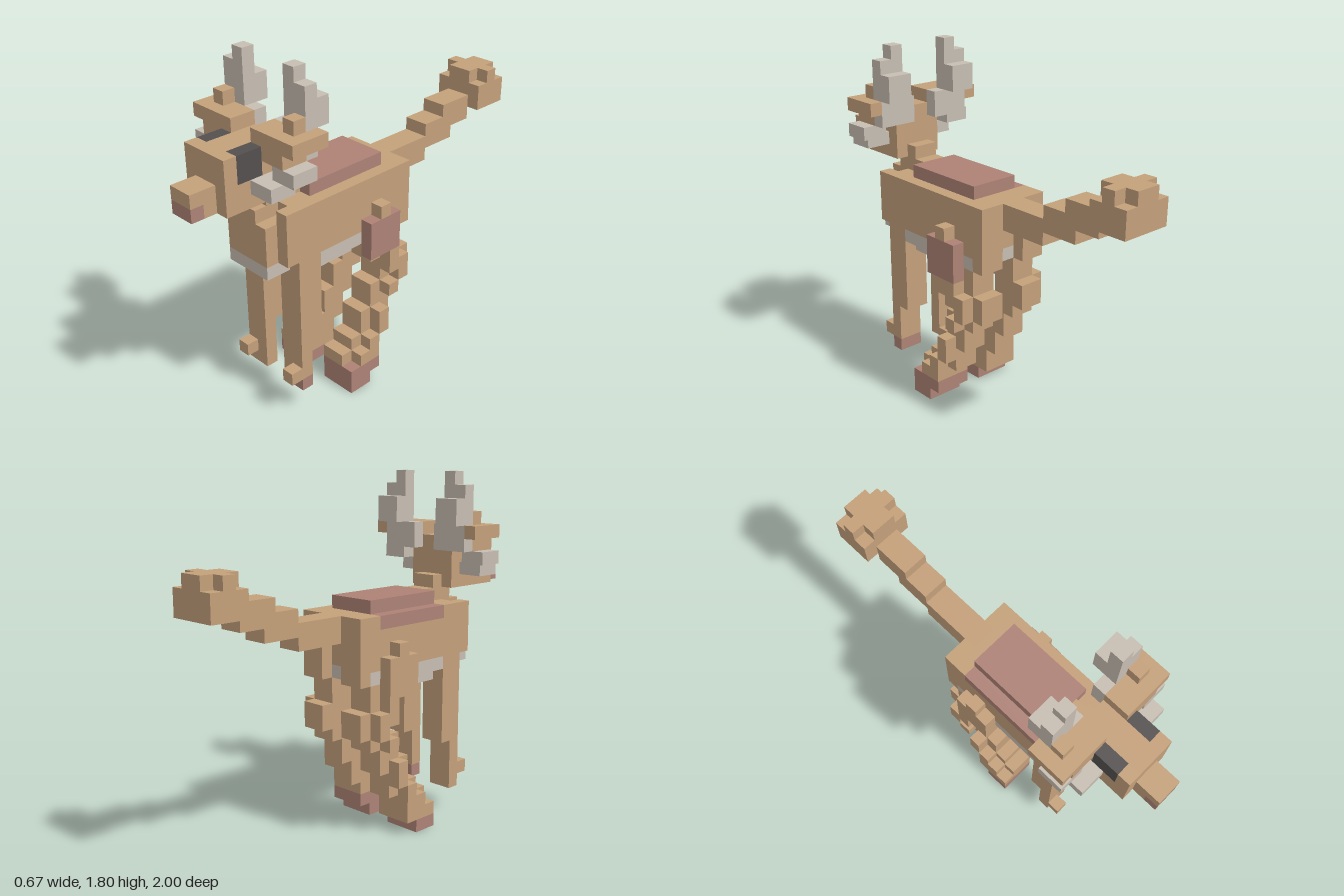
import * as THREE from 'three';

const U = 1 / 15; // edge of one cube

const tan = new THREE.MeshStandardMaterial({ color: 0xc4a07a });
const rose = new THREE.MeshStandardMaterial({ color: 0xae8276 });
const cream = new THREE.MeshStandardMaterial({ color: 0xc7beb2 });
const dark = new THREE.MeshStandardMaterial({ color: 0x555050 });
tan.name = 'tan fur';
rose.name = 'rose markings';
cream.name = 'cream';
dark.name = 'dark eye';

// Box between two corners given in cube units
function box(parent, name, mat, x0, x1, y0, y1, z0, z1) {
  const geo = new THREE.BoxGeometry((x1 - x0) * U, (y1 - y0) * U, (z1 - z0) * U);
  const mesh = new THREE.Mesh(geo, mat);
  mesh.position.set((x0 + x1) / 2 * U, (y0 + y1) / 2 * U, (z0 + z1) / 2 * U);
  mesh.name = name;
  parent.add(mesh);
}

function part(model, name) {
  const group = new THREE.Group();
  group.name = name;
  model.add(group);
  return group;
}

// Box on the side s (+1 left, -1 right), x measured outwards
function sideBox(parent, name, mat, s, x0, x1, ...rest) {
  box(parent, name, mat, s > 0 ? x0 : -x1, s > 0 ? x1 : -x0, ...rest);
}

function addBody(model) {
  const g = part(model, 'body');
  box(g, 'torso', tan, -3, 3, 13, 16, -2, 8);
  box(g, 'upperTorso', tan, -2, 3, 16, 17, -2, 8);
  box(g, 'backEdge', rose, -3, -2, 16, 17, -1, 6);
  box(g, 'rightHip', tan, -3, -2, 16, 17, -2, -1);
  box(g, 'rightShoulderTop', tan, -3, -2, 16, 17, 6, 8);
  box(g, 'saddle', rose, -2, 2, 17, 18, -1, 6);
  box(g, 'rearUnderside', tan, -3, 3, 12, 13, -1, 2);
  box(g, 'rearPatch', cream, -3, 3, 12, 13, -2, -1);
  box(g, 'bellySide', cream, -3, 3, 12, 13, 2, 6);
  box(g, 'belly', cream, -2, 2, 11, 12, 2, 6);
  box(g, 'frontUnderside', tan, -3, 3, 12, 13, 6, 8);
  box(g, 'chestPatch', cream, -2, 2, 12, 13, 8, 10);
  box(g, 'chest', tan, -2, 2, 13, 16, 8, 10);
  box(g, 'upperChest', tan, -1, 1, 16, 17, 8, 10);
  for (const s of [1, -1]) {
    sideBox(g, 'shoulder', tan, s, 2, 3, 13, 17, 8, 9);
    sideBox(g, 'haunch', tan, s, 1, 3, 12, 17, -3, -2);
  }
  box(g, 'neckBase', tan, -1, 1, 17, 18, 6, 9);
  box(g, 'neck', tan, -1, 1, 18, 19, 7, 9);
}

function addTail(model) {
  const g = part(model, 'tail');
  box(g, 'tailRoot', tan, -1, 1, 15, 17, -7, -2);
  box(g, 'tailMiddle', tan, -1, 1, 16, 18, -10, -7);
  box(g, 'tailUpper', tan, -1, 1, 17, 19, -12, -9);
  // Tuft
  box(g, 'tuftCore', tan, -1, 1, 18, 21, -15, -12);
  box(g, 'tuftWide', tan, -2, 2, 18, 20, -15, -12);
  box(g, 'tuftSides', tan, -2, 2, 20, 21, -14, -13);
}

function addHead(model) {
  const g = part(model, 'head');
  box(g, 'skullLower', tan, -2, 2, 18, 20, 8, 13);
  box(g, 'skullMiddle', tan, -1, 1, 20, 22, 8, 13);
  box(g, 'snout', tan, -1, 1, 19, 20, 13, 15);
  box(g, 'jaw', tan, -1, 1, 18, 19, 13, 14);
  box(g, 'mouth', rose, -1, 1, 18, 19, 14, 15);
  for (const s of [1, -1]) {
    sideBox(g, 'brow', tan, s, 1, 2, 20, 22, 12, 13);
    sideBox(g, 'eye', dark, s, 1, 2, 20, 22, 10, 12);
    sideBox(g, 'cheek', tan, s, 1, 2, 20, 22, 8, 10);
    // Pale ears below
    sideBox(g, 'lowerEar', cream, s, 2, 4, 19, 20, 9, 11);
    sideBox(g, 'earTip', cream, s, 3, 5, 20, 21, 8, 10);
    // Tan upper ears
    sideBox(g, 'earBase', tan, s, 2, 4, 21, 22, 8, 10);
    sideBox(g, 'upperEar', tan, s, 1, 5, 22, 23, 8, 10);
    sideBox(g, 'upperEarBack', tan, s, 4, 5, 22, 23, 7, 8);
    sideBox(g, 'earKnob', tan, s, 3, 4, 23, 24, 8, 9);
    // Antlers
    sideBox(g, 'antlerRoot', cream, s, 1, 4, 21, 23, 7, 8);
    sideBox(g, 'antlerStem', cream, s, 2, 3, 23, 27, 7, 8);
    sideBox(g, 'antlerOuter', cream, s, 3, 4, 23, 26, 7, 8);
    sideBox(g, 'antlerBack', cream, s, 2, 4, 23, 25, 6, 7);
  }
}

function addFrontLeg(model, s) {
  const g = part(model, s > 0 ? 'leftFrontLeg' : 'rightFrontLeg');
  sideBox(g, 'upperLeg', tan, s, 1, 3, 6, 12, 6, 8);
  sideBox(g, 'lowerLeg', tan, s, 1, 3, 3, 6, 7, 8);
  sideBox(g, 'hoof', s > 0 ? rose : tan, s, 1, 3, 2, 3, 7, 8);
  sideBox(g, 'toe', tan, s, 2, 3, 3, 4, 8, 9);
}

// Hind leg rows from the ground up: [z0, z1, outer z0, outer z1]
const HIND_ROWS = [
  [2, 4, 2, 4], [1, 4, 1, 4], [1, 4, 1, 3], [0, 3, 1, 2],
  [0, 2, 0, 1], [-1, 2, 0, 1], [-1, 1, 0, 0], [-2, 1, -1, 0],
  [-3, 0, -2, -1], [-3, 0, -2, 0], [-2, 1, -1, 0], [-2, 2, -1, 2],
];

function addHindLeg(model, s) {
  const g = part(model, s > 0 ? 'leftHindLeg' : 'rightHindLeg');
  const roseRows = s > 0 ? 2 : 1;
  HIND_ROWS.forEach(([z0, z1, o0, o1], y) => {
    const mat = y < roseRows ? rose : tan;
    sideBox(g, y < 2 ? 'foot' : 'hindLegRow', mat, s, 1, 3, y, y + 1, z0, z1);
    if (o1 > o0 && y < 11) sideBox(g, 'hindLegOuter', mat, s, 3, 4, y, y + 1, o0, o1);
  });
  sideBox(g, 'thighPatch', s > 0 ? rose : tan, s, 3, 4, 11, 14, -1, 2);
  sideBox(g, 'thighTop', tan, s, 3, 4, 14, 15, 0, 1);
}

export function createModel() {
  const model = new THREE.Group();
  model.name = 'blockyDeer';
  addBody(model);
  addTail(model);
  addHead(model);
  for (const s of [1, -1]) {
    addFrontLeg(model, s);
    addHindLeg(model, s);
  }
  return model;
}
